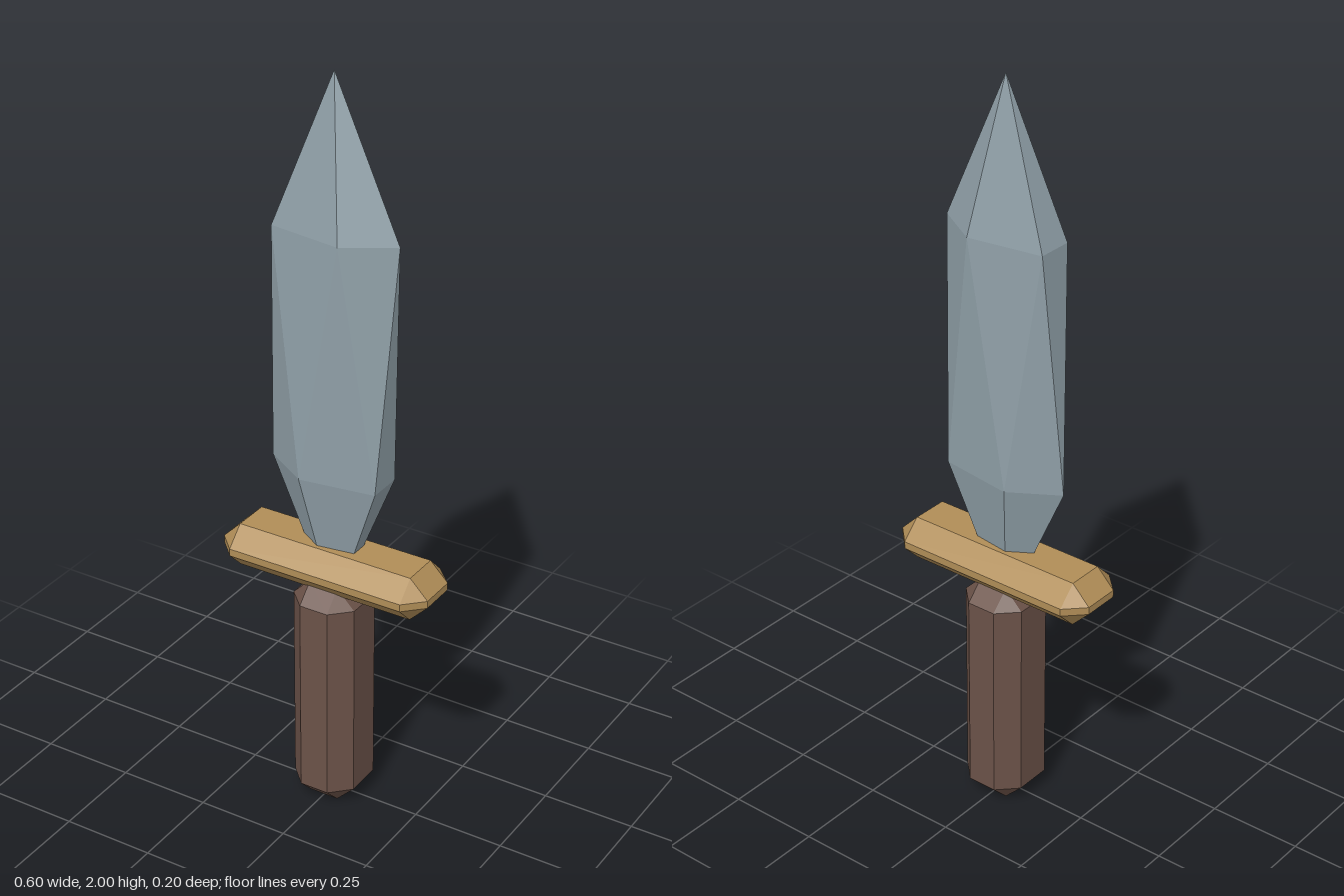
import * as THREE from 'three';
import { ConvexGeometry } from 'three/addons/geometries/ConvexGeometry.js';

function part(name, points, color) {
  const mesh = new THREE.Mesh(
    new ConvexGeometry(points),
    new THREE.MeshStandardMaterial({ color, flatShading: true })
  );
  mesh.name = name;
  return mesh;
}

// Corner points of a box with half sizes x, y, z whose edges are cut by b
function chamferedBox(x, y, z, b, centreY) {
  const points = [];
  for (const sx of [-1, 1]) for (const sy of [-1, 1]) for (const sz of [-1, 1]) {
    for (const [px, py, pz] of [[x, y - b, z - b], [x - b, y, z - b], [x - b, y - b, z]]) {
      points.push(new THREE.Vector3(sx * px, centreY + sy * py, sz * pz));
    }
  }
  return points;
}

// Flattened five-sided ring, its first corner at the given angle
function ring(y, start) {
  return Array.from({ length: 5 }, (_, i) => {
    const a = start + (i * Math.PI * 2) / 5;
    return new THREE.Vector3(0.18 * Math.cos(a), y, 0.081 * Math.sin(a));
  });
}

export function createModel() {
  const group = new THREE.Group();
  group.name = 'dagger';

  // Faceted blade: two opposed rings between the tip and a tang hidden in the grip
  group.add(part('blade', [
    new THREE.Vector3(0, 2, 0),
    ...ring(1.6, 0),
    ...ring(0.95, Math.PI),
    new THREE.Vector3(0, 0.55, 0),
  ], 0x90a0a8));

  // Crossguard and grip
  group.add(part('guard', chamferedBox(0.3, 0.06, 0.1, 0.05, 0.69), 0xb08d57));
  group.add(part('grip', chamferedBox(0.09, 0.325, 0.1, 0.05, 0.325), 0x6b5248));

  return group;
}
